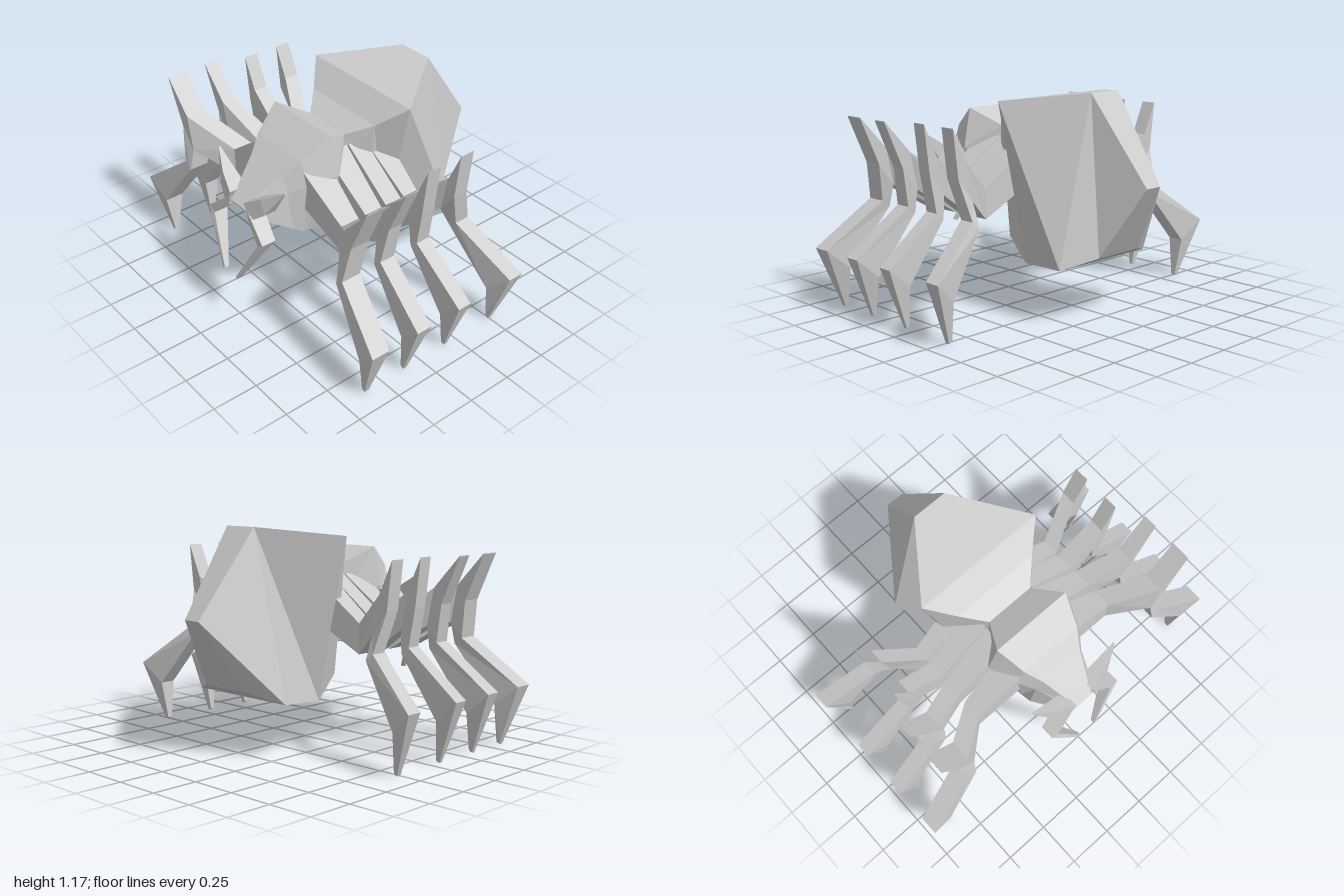
import * as THREE from 'three';

const material = new THREE.MeshStandardMaterial({ color: 0xcccccc, flatShading: true });

// Joins rings of equal point count into a closed, outward-facing solid.
function loft(rings) {
  const n = rings[0].length, tris = [];
  const tri = (a, b, c) => tris.push([a, b, c]);
  for (let r = 0; r < rings.length - 1; r++) {
    for (let i = 0; i < n; i++) {
      const j = (i + 1) % n, a = rings[r], b = rings[r + 1];
      tri(a[i], a[j], b[j]);
      tri(a[i], b[j], b[i]);
    }
  }
  const end = rings[rings.length - 1];
  for (let i = 1; i < n - 1; i++) {
    tri(rings[0][0], rings[0][i + 1], rings[0][i]);
    tri(end[0], end[i], end[i + 1]);
  }
  // Signed volume tells whether the winding must be reversed (mirrored parts)
  const v = (p) => new THREE.Vector3(...p);
  const volume = tris.reduce((s, [a, b, c]) => s + v(a).dot(v(b).cross(v(c))), 0);
  const flat = tris.flatMap(([a, b, c]) => (volume < 0 ? [a, c, b] : [a, b, c])).flat();
  const geometry = new THREE.BufferGeometry();
  geometry.setAttribute('position', new THREE.Float32BufferAttribute(flat, 3));
  geometry.computeVertexNormals();
  return geometry;
}

function part(name, geometry) {
  const mesh = new THREE.Mesh(geometry, material);
  mesh.name = name;
  return mesh;
}

// Ring of a limb: upper and lower point in the xy plane, each spread over a z range
const limbRing = (side, [ux, uy, lx, ly], [z0, z1], [w0, w1] = [z0, z1]) => [
  [side * ux, uy, z0], [side * ux, uy, z1], [side * lx, ly, w1], [side * lx, ly, w0],
];

// Ring of the body: one half listed from top to bottom, then mirrored
const bodyRing = (half) => [...half, ...half.map(([x, y, z]) => [-x, y, z]).reverse()];

// Four-cornered bulb with skewed side panels
function createAbdomen() {
  return part('abdomen', loft([
    [[0.25, 1.01, 0.03], [0.19, 0.37, 0.03]],
    [[0.38, 1.12, -0.09], [0.19, 0.24, -0.09]],
    [[0.1, 1.17, -0.47], [0.32, 0.295, -0.47]],
    [[0.05, 0.72, -0.8], [0.15, 0.35, -0.58]],
  ].map(bodyRing)));
}

// Thorax and head, from the waist to the snout
function createThorax() {
  return part('thorax', loft([
    [[0.25, 1.01, 0.03], [0.23, 0.78, 0.03], [0.17, 0.54, 0.03]],
    [[0.14, 0.95, 0.14], [0.15, 0.76, 0.14], [0.12, 0.53, 0.14]],
    [[0.23, 1.04, 0.3], [0.28, 0.83, 0.29], [0.2, 0.5, 0.26]],
    [[0.18, 0.93, 0.45], [0.22, 0.8, 0.44], [0.18, 0.5, 0.44]],
    [[0.13, 0.86, 0.53], [0.16, 0.76, 0.52], [0.18, 0.55, 0.51]],
    [[0.05, 0.7, 0.72], [0.07, 0.68, 0.71], [0.1, 0.655, 0.69]],
  ].map(bodyRing)));
}

// z ranges at hip, bend, knee, ankle, shin end and toe; spike is the tip's x
const legs = [
  { name: 'frontLeg', spike: 0.83, z: [[0.29, 0.45], [0.31, 0.42], [0.465, 0.575], [0.49, 0.6], [0.565, 0.67], [0.59, 0.615]] },
  { name: 'secondLeg', spike: 0.83, z: [[0.14, 0.28], [0.16, 0.265], [0.26, 0.34], [0.27, 0.36], [0.3, 0.385], [0.34, 0.36]] },
  { name: 'thirdLeg', spike: 0.75, z: [[0.03, 0.13], [0.03, 0.13], [0.045, 0.125], [0.04, 0.12], [0.03, 0.11], [0.06, 0.08]] },
  { name: 'rearLeg', spike: 0.75, z: [[-0.1, 0.03], [-0.08, 0.01], [-0.175, -0.09], [-0.235, -0.15], [-0.34, -0.25], [-0.27, -0.245]] },
];

function createLeg({ name, spike, z }, side) {
  const leg = new THREE.Group();
  leg.name = name;
  const ring = (profile, range, lower) => limbRing(side, profile, range, lower);
  // The inner corner of the shin end lies partway along the shin
  const inner = z[3].map((start, i) => THREE.MathUtils.lerp(start, z[4][i], 0.65));
  leg.add(part('limb', loft([
    ring([0.16, 0.9, 0.16, 0.68], z[0]),
    ring([0.46, 0.68, 0.46, 0.52], z[1]),
    ring([0.67, 0.85, 0.63, 0.65], z[2]),
    ring([0.72, 0.77, 0.63, 0.65], z[2]),
    ring([0.685, 0.565, 0.64, 0.53], z[3]),
    ring([0.995, 0.33, 0.87, 0.22], z[4], inner),
    ring([0.875, 0, 0.855, 0.01], z[5]),
  ])));
  leg.add(part('kneeSpike', loft([
    ring([0.67, 0.85, 0.72, 0.77], z[2]),
    ring([spike, 1.025, spike, 1.02], z[2]),
  ])));
  return leg;
}

function createFang(side) {
  const fang = new THREE.Group();
  fang.name = 'fang';
  const ring = (profile, range) => limbRing(side, profile, range);
  // Arm out from the snout, then the claw hanging inward
  fang.add(part('claw', loft([
    ring([0.07, 0.71, 0.08, 0.65], [0.62, 0.715]),
    ring([0.235, 0.58, 0.19, 0.555], [0.66, 0.74]),
    ring([0.065, 0.295, 0.05, 0.3], [0.765, 0.79]),
  ])));
  // Flared horn beside the snout
  fang.add(part('horn', loft([
    ring([0.06, 0.74, 0.1, 0.65], [0.62, 0.72]),
    ring([0.16, 0.8, 0.19, 0.72], [0.62, 0.69]),
    ring([0.28, 0.87, 0.28, 0.865], [0.62, 0.63]),
  ])));
  return fang;
}

export function createModel() {
  const model = new THREE.Group();
  model.name = 'spider';
  model.add(createAbdomen(), createThorax());
  for (const side of [1, -1]) {
    const half = new THREE.Group();
    half.name = side > 0 ? 'leftLimbs' : 'rightLimbs';
    legs.forEach((leg) => half.add(createLeg(leg, side)));
    half.add(createFang(side));
    model.add(half);
  }
  return model;
}
